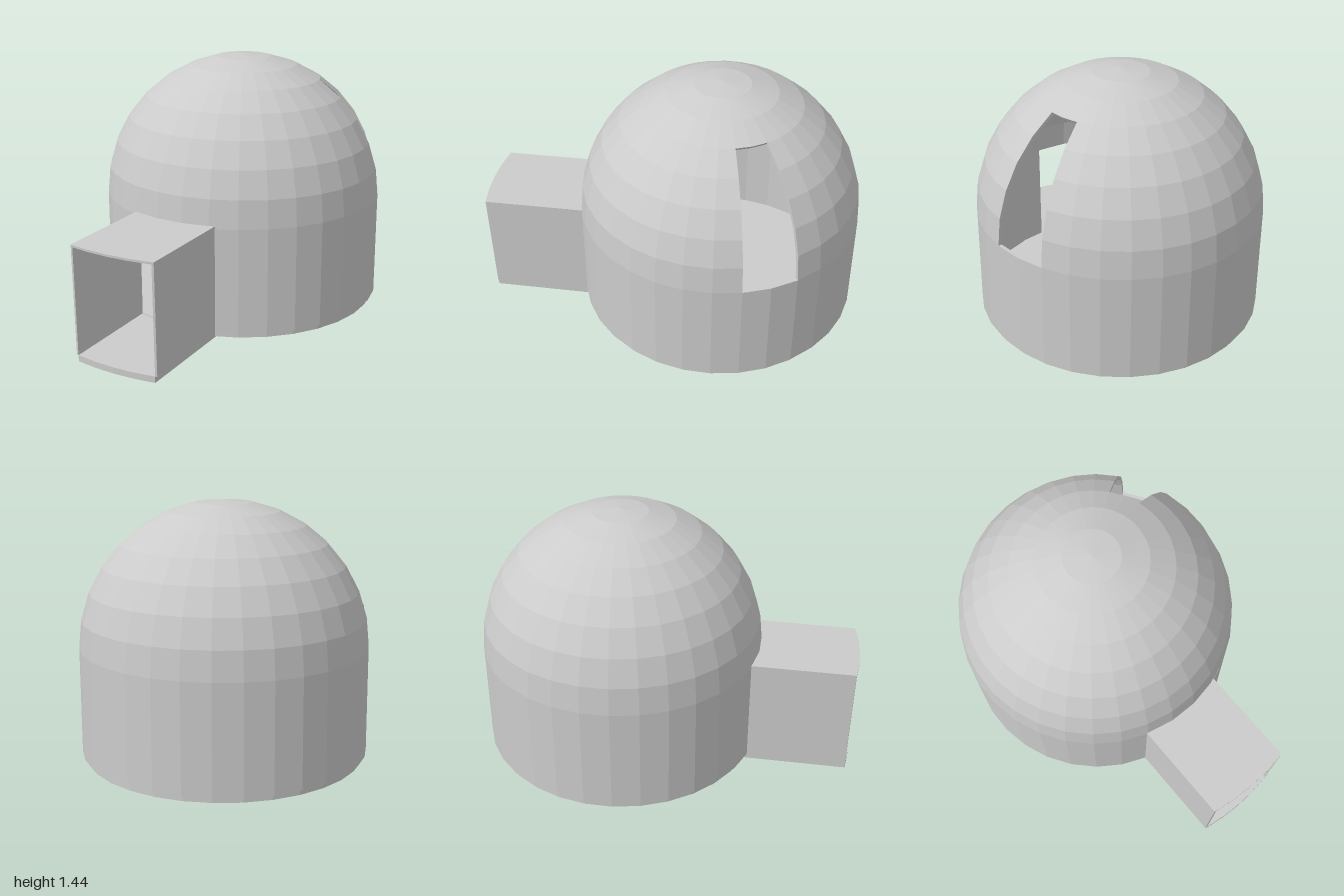
import * as THREE from 'three';

const RAD = Math.PI / 180, STEP = 11.25;
const R = 0.8, INNER = 0.78;        // outer and inner radius of the shell
const FLOOR = 0.045, SPRING = 0.64; // floor level and foot of the dome
const CX = 0.11, CZ = -0.19;        // centre of the round building
const TUNNEL = 128.5;               // tunnel heading, degrees from +x towards +z
const mat = new THREE.MeshStandardMaterial({ color: 0xcccccc, flatShading: true, side: THREE.DoubleSide });

function add(parent, name, geometry) {
  const mesh = new THREE.Mesh(geometry, mat);
  mesh.name = name;
  parent.add(mesh);
  return mesh;
}

// Extrudes a plan outline of (x, z) points between two heights
function slab(points, bottom, top) {
  const geo = new THREE.ExtrudeGeometry(new THREE.Shape(points), { depth: top - bottom, bevelEnabled: false });
  return geo.rotateX(Math.PI / 2).translate(0, top, 0);
}

const polar = (r, deg) => new THREE.Vector2(r * Math.cos(deg * RAD), r * Math.sin(deg * RAD));

// Closed section of the dome shell between two polar angles
function domeProfile(from, to, steps) {
  const arc = (r) => Array.from({ length: steps + 1 }, (_, i) => {
    const t = (from + (to - from) * i / steps) * RAD;
    return new THREE.Vector2(Math.max(0, r * Math.sin(t)), r * Math.cos(t));
  });
  const loop = [...arc(R), ...arc(INNER).reverse()];
  loop.push(loop[0].clone());
  return loop;
}

export function createModel() {
  const model = new THREE.Group();
  const house = new THREE.Group();
  house.name = 'roundBuilding';
  house.position.set(CX, 0, CZ);
  model.add(house);

  // Floor disc, slightly inset under the wall
  add(house, 'floorDisc', new THREE.CylinderGeometry(INNER, INNER, 0.035, 32)).position.y = 0.0325;

  // Round wall, left open where the tunnel enters
  const half = Math.asin(0.24 / R) / RAD;
  const start = TUNNEL + half, end = TUNNEL + 360 - half;
  const angles = [start];
  for (let a = Math.ceil(start / STEP) * STEP; a < end; a += STEP) angles.push(a);
  angles.push(end);
  add(house, 'roundWall', slab([
    ...angles.map((a) => polar(R, a)),
    ...angles.map((a) => polar(INNER, a)).reverse(),
  ], FLOOR, SPRING));

  // Dome: full cap above, lower band with a two-segment slot
  const dome = new THREE.Group();
  dome.name = 'dome';
  dome.position.y = SPRING;
  house.add(dome);
  const slotTop = 3 * STEP;
  add(dome, 'domeCap', new THREE.LatheGeometry(domeProfile(slotTop, 0, 3), 32));
  const band = domeProfile(90, slotTop, 5);
  add(dome, 'domeBand', new THREE.LatheGeometry(band, 30, 90 * RAD, 337.5 * RAD));
  for (const phi of [90, 67.5]) {
    add(dome, 'slotEdge', new THREE.ShapeGeometry(new THREE.Shape(band))).rotation.y = (phi - 90) * RAD;
  }

  // Entrance tunnel: local +z points outwards, dipping slightly
  const tunnel = new THREE.Group();
  tunnel.name = 'entranceTunnel';
  tunnel.rotation.set(0.015, (90 - TUNNEL) * RAD, 0, 'YXZ');
  house.add(tunnel);
  const FAR = 1.345, W = 0.25, T = 0.012;
  // Plan between two x positions, ending on arcs around the building's centre
  const strip = (x0, x1, near, n = 4) => {
    const edge = (r) => Array.from({ length: n + 1 }, (_, i) => {
      const x = x0 + (x1 - x0) * i / n;
      return new THREE.Vector2(x, Math.sqrt(r * r - x * x));
    });
    return [...edge(near), ...edge(FAR).reverse()];
  };
  add(tunnel, 'tunnelFloor', slab(strip(-W + T, W - T, 0.74), 0.02, 0.055));
  add(tunnel, 'tunnelRoof', slab(strip(-W, W, INNER), 0.653, 0.665));
  add(tunnel, 'tunnelRightWall', slab(strip(-W, -W + T, INNER, 1), 0.055, 0.653));
  add(tunnel, 'tunnelLeftWall', slab(strip(W - T, W, INNER, 1), 0.055, 0.653));

  return model;
}
